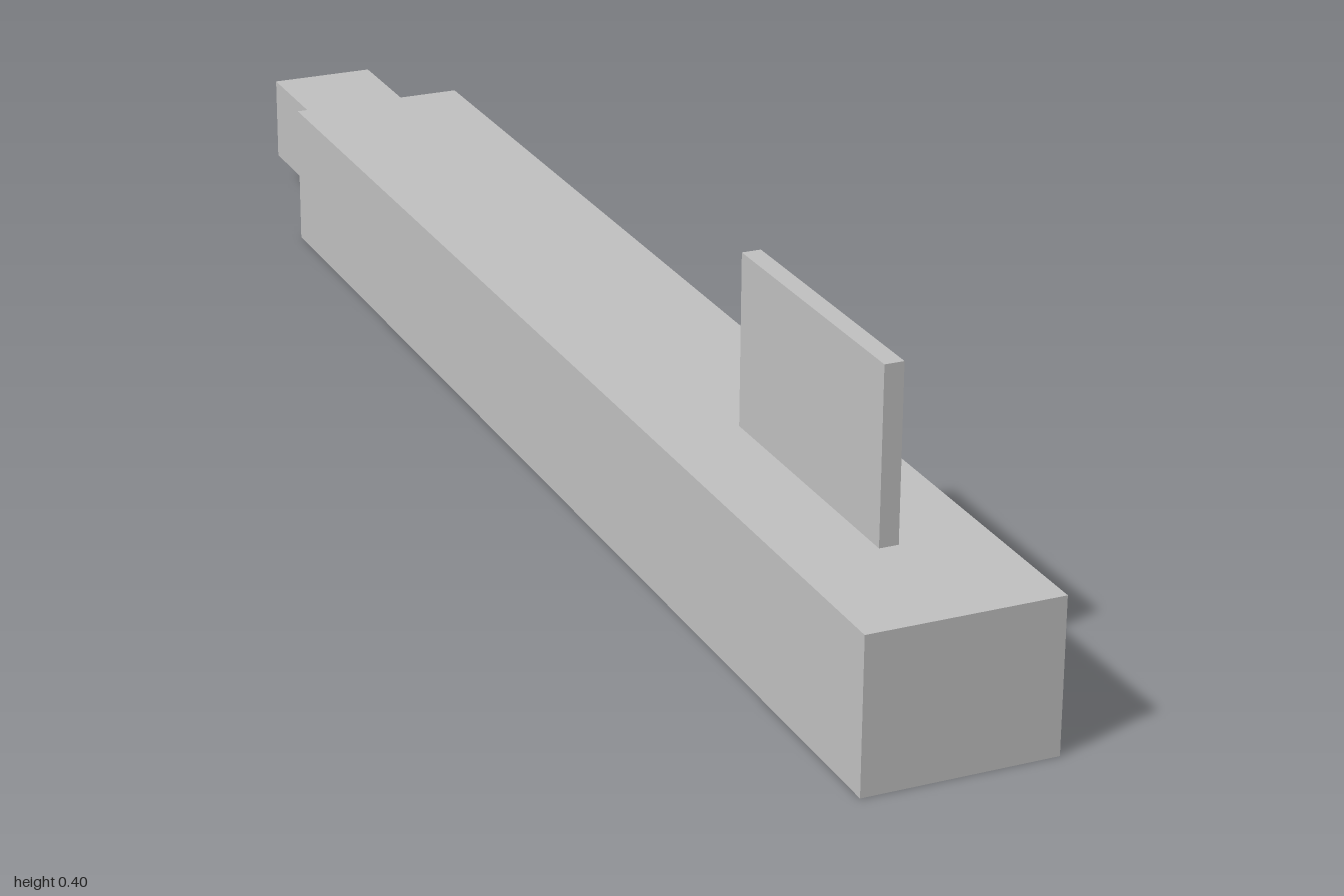
import * as THREE from 'three';

export function createModel() {
  const model = new THREE.Group();
  const silver = new THREE.MeshStandardMaterial({ color: 0xc0c0c0 });
  silver.name = 'silver';

  // Box centred on x, given its width and its y and z ranges
  function addBox(name, width, [y0, y1], [z0, z1]) {
    const mesh = new THREE.Mesh(new THREE.BoxGeometry(width, y1 - y0, z1 - z0), silver);
    mesh.name = name;
    mesh.position.set(0, (y0 + y1) / 2, (z0 + z1) / 2);
    model.add(mesh);
  }

  addBox('body', 0.235, [0, 0.188], [-0.765, 1]);
  // Narrower block at the rear end
  addBox('rearBlock', 0.142, [0.039, 0.153], [-1, -0.765]);
  // Thin upright plate near the front
  addBox('fin', 0.0235, [0.188, 0.4], [0.471, 0.823]);

  return model;
}
